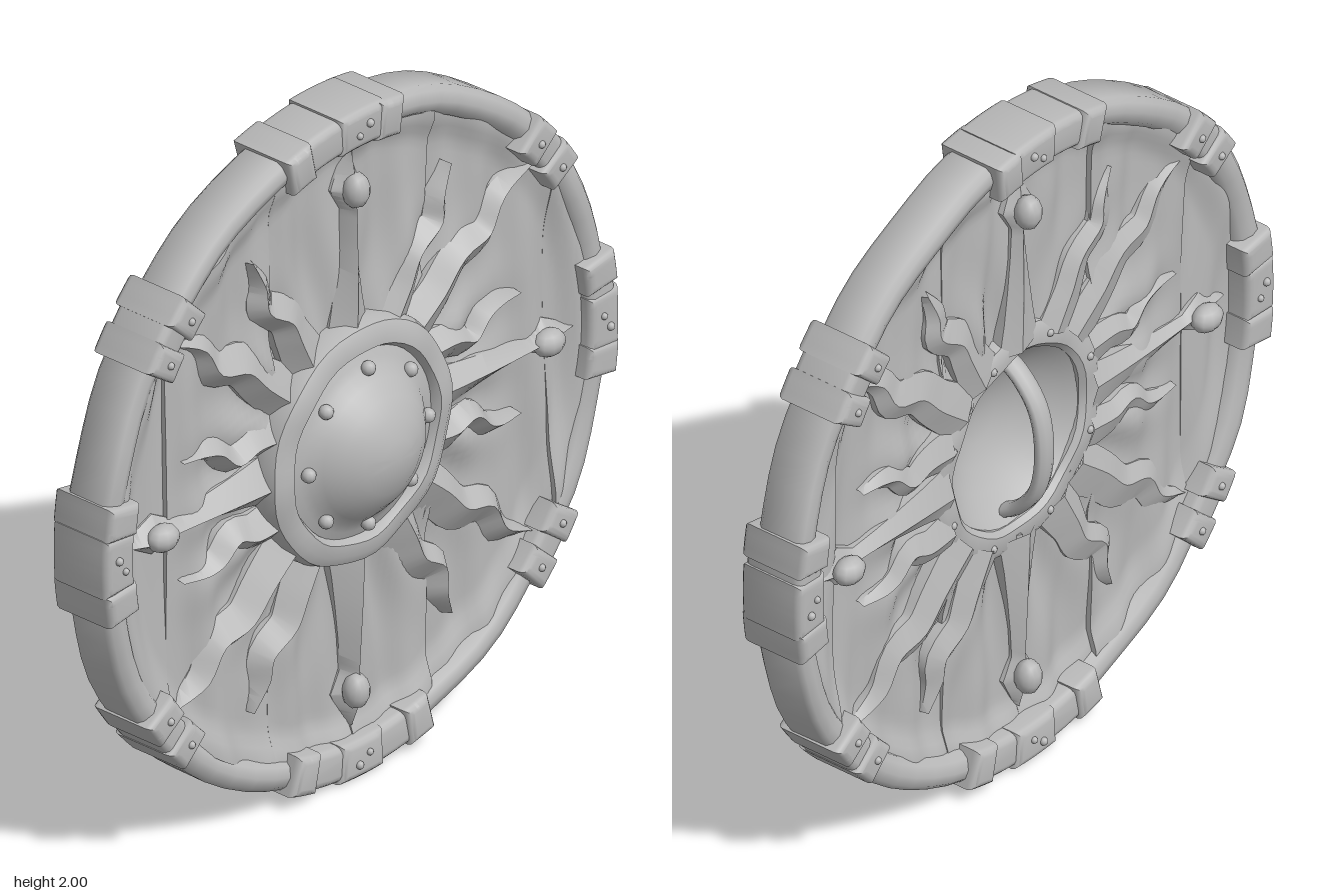
import * as THREE from 'three';
import { toCreasedNormals } from 'three/addons/utils/BufferGeometryUtils.js';

const MID = -0.045; // middle depth of the shield

export function createModel() {
  const model = new THREE.Group();
  const shield = new THREE.Group();
  shield.name = 'shield';
  shield.position.y = 1;
  model.add(shield);
  const grey = new THREE.MeshStandardMaterial({ color: 0xb8b8b8 });
  grey.name = 'plain grey';

  const add = (name, geometry, crease = 0.6) => {
    const mesh = new THREE.Mesh(crease ? toCreasedNormals(geometry, crease) : geometry, grey);
    mesh.name = name;
    shield.add(mesh);
    return mesh;
  };

  // Lathe around the z axis from [radius, z] points
  const turned = (points, segments) =>
    new THREE.LatheGeometry(points.map(p => new THREE.Vector2(...p)), segments).rotateX(Math.PI / 2);

  // Shift vertices by a rule
  const warp = (geometry, rule) => {
    const pos = geometry.attributes.position;
    const v = new THREE.Vector3();
    for (let i = 0; i < pos.count; i++) {
      rule(v.fromBufferAttribute(pos, i));
      pos.setXYZ(i, v.x, v.y, v.z);
    }
    geometry.computeVertexNormals();
    return geometry;
  };

  // Warped vertical planks that swell under the rays and at the rim, with a hole behind the boss
  const seams = [-0.92, -0.7, -0.3, 0, 0.305, 0.77, 0.92];
  const lift = [0, 0.006, -0.002, 0.003, -0.003, 0.006];
  const chord = (r, x) => Math.sqrt(Math.max(0, r * r - x * x));
  for (let s = 0; s < seams.length - 1; s++) {
    for (const half of [1, -1]) {
      const geometry = warp(new THREE.BoxGeometry(1, 1, 1, 20, 30, 1), v => {
        const x = THREE.MathUtils.lerp(seams[s], seams[s + 1], v.x + 0.5);
        const lo = chord(0.3, x), hi = chord(0.92, x);
        const t = half > 0 ? v.y + 0.5 : 0.5 - v.y;
        const y = half * (lo + t * (hi - lo));
        const side = Math.sign(v.z), r = Math.hypot(x, y);
        const grain = 0.009 * Math.sin(x * 21 + 1.5 * Math.sin(y * 4 + side) + s)
          + 0.006 * Math.sin(x * 43 + y * 5 + side * 2);
        const swell = 0.014 * Math.cos(16 * Math.atan2(y, x)) * (1 - THREE.MathUtils.smoothstep(r, 0.45, 0.75));
        const edge = 0.026 * THREE.MathUtils.smoothstep(r, 0.82, 0.91);
        v.set(x, y, MID + 0.004 + side * (0.028 + lift[s] + grain + swell + edge));
      });
      add('plank', geometry, 0.9);
    }
  }

  // Outer rim, slightly uneven as if wrapped
  const rim = warp(turned([
    [0.9, -0.095], [0.915, -0.115], [0.945, -0.125], [0.972, -0.12], [0.986, -0.105], [0.988, 0.01],
    [0.974, 0.026], [0.945, 0.036], [0.918, 0.026], [0.902, 0.005], [0.894, MID], [0.9, -0.095],
  ], 72), v => {
    const a = Math.atan2(v.y, v.x);
    const k = 1 + 0.002 * Math.sin(a * 11);
    v.x *= k;
    v.y *= k;
    v.z += 0.004 * Math.sin(a * 13 + 2);
  });
  add('rim', rim, 0.8);

  // Rounded block bent around the rim
  const band = (name, angle, halfWidth, r0, r1, z0, z1) => {
    const a = THREE.MathUtils.degToRad(angle), h = THREE.MathUtils.degToRad(halfWidth), b = 0.022;
    const inset = b / r1;
    const shape = new THREE.Shape();
    shape.absarc(0, 0, r1 - b, a - h + inset, a + h - inset, false);
    shape.absarc(0, 0, r0 + b, a + h - inset, a - h + inset, true);
    const geometry = new THREE.ExtrudeGeometry(shape, {
      depth: z1 - z0 - 2 * b, bevelThickness: b, bevelSize: b, bevelSegments: 3, curveSegments: 8,
    }).translate(0, 0, z0 + b);
    add(name, geometry, 0.9);
  };

  // Round-headed rivet
  const rivet = (r, angle, z, size, name = 'rivet') => {
    const a = THREE.MathUtils.degToRad(angle);
    const mesh = add(name, new THREE.SphereGeometry(size, 10, 8), 0);
    mesh.position.set(r * Math.cos(a), r * Math.sin(a), z);
    return mesh;
  };

  // Large clamps: [centre angle, strap half width, strap offset]
  for (const [angle, width, shift] of [[90, 13, 4], [180, 10, 0], [270, 16, 0], [0, 10.5, 1]]) {
    band('rimStrap', angle + shift, width, 0.888, 0.994, -0.14, 0.048);
    for (const side of [-1, 1]) {
      band('clampEnd', angle + shift + side * (width - 2.5), 2.8, 0.882, 0.997, -0.155, 0.062);
    }
    band('clampCentre', angle, 5, 0.886, 1, -0.15, 0.056);
    for (const z of [0.058, -0.152]) {
      rivet(0.955, angle - 1.2, z, 0.012);
      rivet(0.93, angle + 1.2, z, 0.01);
    }
  }
  // Small clamps on the diagonals
  for (const angle of [39, 141, 219, 321]) {
    band('diagonalStrap', angle, 6.5, 0.888, 0.99, -0.138, 0.048);
    for (const side of [-1, 1]) {
      band('diagonalClamp', angle + side * 4, 2.6, 0.876, 0.992, -0.155, 0.064);
      for (const z of [0.064, -0.155]) rivet(0.93, angle + side * 4, z, 0.011);
    }
  }

  // Ridged blade through both faces, flatter behind; nodes are [x, y, halfWidth, ridge]
  const blade = (name, nodes, steps) => {
    const path = new THREE.CatmullRomCurve3(nodes.map(n => new THREE.Vector3(n[0], n[1], 0)));
    const positions = [], index = [];
    for (let i = 0; i <= steps; i++) {
      const t = i / steps, f = t * (nodes.length - 1);
      const k = Math.min(Math.floor(f), nodes.length - 2);
      const w = THREE.MathUtils.lerp(nodes[k][2], nodes[k + 1][2], f - k);
      const h = THREE.MathUtils.lerp(nodes[k][3], nodes[k + 1][3], f - k);
      const p = path.getPoint(t), d = path.getTangent(t);
      const edge = h * 0.42, back = -h * 0.72;
      for (const [n, z] of [[w, edge], [w * 0.2, h], [-w, edge], [-w, -edge], [-w * 0.2, back], [w, -edge]]) {
        positions.push(p.x - d.y * n, p.y + d.x * n, MID + z);
      }
      for (let j = 0; i < steps && j < 6; j++) {
        const a = i * 6 + j, e = i * 6 + (j + 1) % 6;
        index.push(a, e, a + 6, e, e + 6, a + 6);
      }
    }
    const geometry = new THREE.BufferGeometry();
    geometry.setAttribute('position', new THREE.Float32BufferAttribute(positions, 3));
    geometry.setIndex(index);
    geometry.computeVertexNormals();
    add(name, geometry, 0.6);
  };

  // Wavy sun rays, mirrored into four quarters
  const flames = [
    [[0.15, 0.27, 0.08, 0.085], [0.21, 0.38, 0.062, 0.088], [0.25, 0.46, 0.055, 0.087],
      [0.335, 0.52, 0.05, 0.082], [0.345, 0.59, 0.038, 0.077], [0.385, 0.675, 0.01, 0.06]],
    [[0.23, 0.21, 0.08, 0.085], [0.34, 0.30, 0.068, 0.088], [0.42, 0.38, 0.062, 0.087],
      [0.52, 0.41, 0.055, 0.082], [0.58, 0.50, 0.042, 0.077], [0.7, 0.55, 0.006, 0.06]],
    [[0.29, 0.13, 0.065, 0.085], [0.39, 0.135, 0.052, 0.088], [0.46, 0.115, 0.042, 0.086],
      [0.52, 0.165, 0.036, 0.081], [0.57, 0.18, 0.028, 0.076], [0.655, 0.18, 0.006, 0.06]],
  ];
  for (const sx of [1, -1]) {
    for (const sy of [1, -1]) {
      for (const ray of flames) {
        blade('wavyRay', ray.map(([x, y, w, h]) => [x * sx, y * sy, w, h]), 20);
      }
    }
  }

  // Straight spikes with a diamond tip and a stud on each face
  const spike = [[0.3, 0.08, 0.09], [0.4, 0.06, 0.09], [0.5, 0.045, 0.088], [0.6, 0.032, 0.084],
    [0.69, 0.024, 0.08], [0.755, 0.06, 0.08], [0.81, 0.03, 0.07], [0.86, 0.002, 0.055]];
  for (const angle of [0, 90, 180, 270]) {
    const c = Math.round(Math.cos(angle * Math.PI / 180)), s = Math.round(Math.sin(angle * Math.PI / 180));
    blade('spike', spike.map(([r, w, h]) => [r * c, r * s, w, h]), 28);
    for (const side of [1, -1]) {
      const stud = rivet(0.75, angle, MID + side * 0.07, 0.039, 'spikeStud');
      stud.rotation.z = angle * Math.PI / 180;
      stud.scale.x = 1.35;
    }
  }

  // Boss collar, standing proud in front and low behind
  const collar = warp(turned([
    [0.265, -0.075], [0.28, -0.09], [0.325, -0.092], [0.345, -0.08], [0.356, MID], [0.356, 0.02],
    [0.346, 0.05], [0.32, 0.064], [0.285, 0.066], [0.272, 0.045], [0.265, 0], [0.265, -0.075],
  ], 48), v => {
    const a = Math.atan2(v.y, v.x);
    v.z += 0.004 * Math.sin(a * 8 + 1);
    const k = 1 + 0.006 * Math.sin(a * 8);
    v.x *= k;
    v.y *= k;
  });
  add('bossCollar', collar, 0.7);

  // Domed boss with a dish behind
  add('bossDome', turned([
    [0.28, 0.04], [0.25, 0.053], [0.225, 0.065], [0.2, 0.092], [0.16, 0.13],
    [0.11, 0.16], [0.055, 0.179], [0, 0.185],
  ], 40), 0.9);
  add('bossDish', turned([
    [0, 0.065], [0.07, 0.057], [0.13, 0.036], [0.19, 0], [0.24, -0.042], [0.275, -0.078],
  ], 40), 0.9);
  for (let i = 0; i < 8; i++) {
    rivet(0.232, i * 45, 0.07, 0.021, 'bossRivet');
    rivet(0.31, i * 45 + 22.5, -0.092, 0.012, 'collarRivet');
  }

  // Arched hand grip behind the boss
  const grip = new THREE.CatmullRomCurve3([[0.25, -0.03], [0.215, -0.085], [0.13, -0.148], [0, -0.17],
    [-0.13, -0.148], [-0.215, -0.085], [-0.25, -0.03]].map(([y, z]) => new THREE.Vector3(0, y, z)));
  const handle = add('handGrip', new THREE.TubeGeometry(grip, 28, 0.02, 10), 0);
  handle.scale.x = 1.7;

  return model;
}
